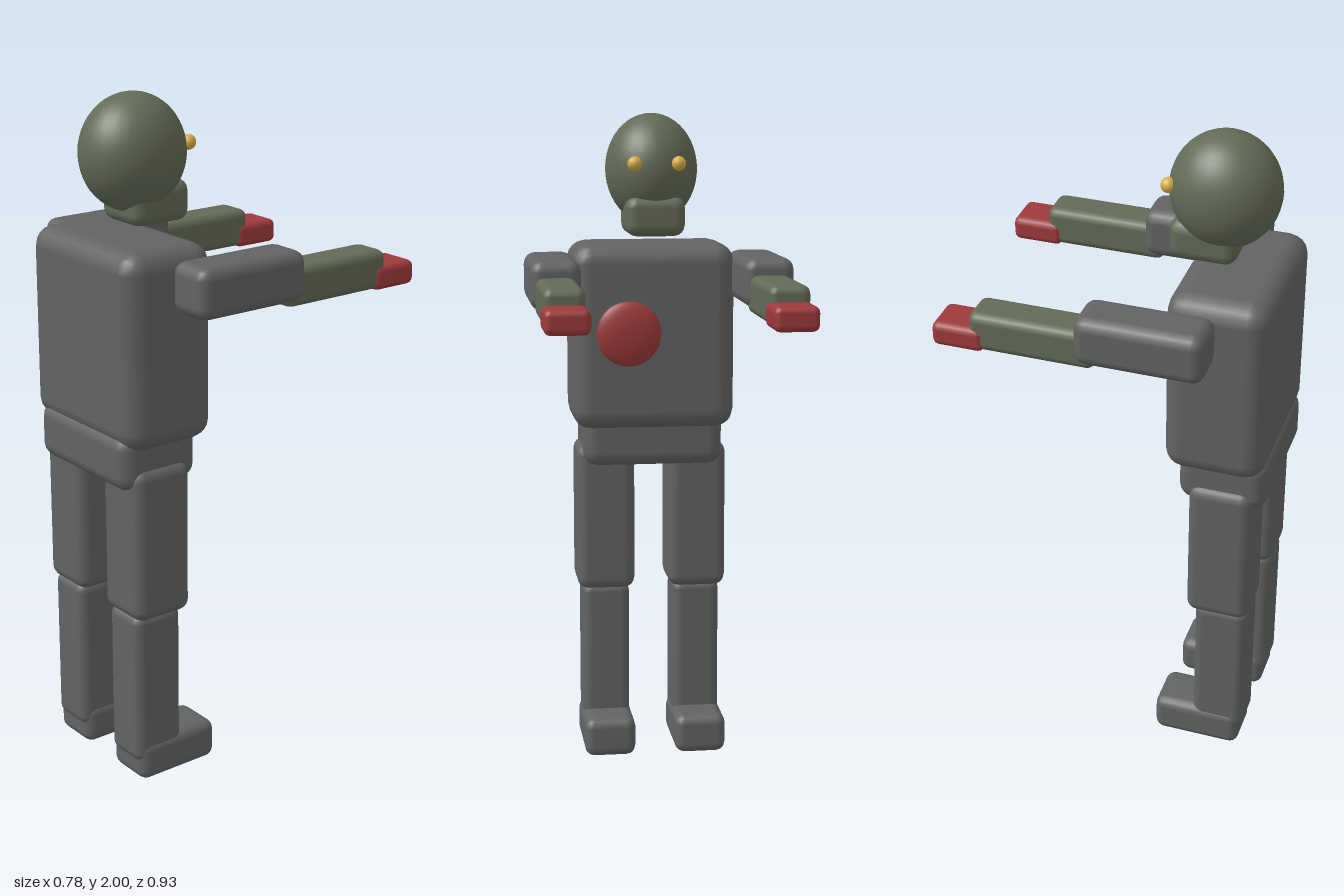
import * as THREE from 'three';
import { RoundedBoxGeometry } from 'three/addons/geometries/RoundedBoxGeometry.js';

function material(name, color) {
  const m = new THREE.MeshStandardMaterial({ color });
  m.name = name;
  return m;
}

export function createModel() {
  const grey = material('grey cloth', 0x626463);
  const green = material('green skin', 0x636a56);
  const red = material('blood red', 0x9e3a3c);
  const yellow = material('yellow eye', 0xd6ae48);
  const model = new THREE.Group();
  model.name = 'figure';

  function add(parent, name, geometry, mat, x, y, z) {
    const mesh = new THREE.Mesh(geometry, mat);
    mesh.name = name;
    mesh.position.set(x, y, z);
    parent.add(mesh);
    return mesh;
  }

  // Rounded block given by its extents on each axis
  function block(parent, name, mat, [x0, x1], [y0, y1], [z0, z1], r) {
    const g = new RoundedBoxGeometry(x1 - x0, y1 - y0, z1 - z0, 2, r);
    return add(parent, name, g, mat, (x0 + x1) / 2, (y0 + y1) / 2, (z0 + z1) / 2);
  }

  function ellipsoid(parent, name, mat, [rx, ry, rz], x, y, z, w = 32, h = 24) {
    const g = new THREE.SphereGeometry(1, w, h).scale(rx, ry, rz);
    return add(parent, name, g, mat, x, y, z);
  }

  // Body
  block(model, 'torso', grey, [-0.25, 0.25], [1.04, 1.61], [0.165, 0.46], 0.06);
  block(model, 'pelvis', grey, [-0.217, 0.217], [0.92, 1.09], [0.203, 0.465], 0.045);
  ellipsoid(model, 'chestWound', red, [0.1, 0.1, 0.03], 0.08, 1.34, 0.168);

  // Head, turned towards -z like the arms
  const head = new THREE.Group();
  head.name = 'head';
  model.add(head);
  ellipsoid(head, 'skull', green, [0.14, 0.167, 0.157], 0, 1.833, 0.267);
  block(head, 'jaw', green, [-0.09, 0.09], [1.635, 1.755], [0.127, 0.32], 0.035);

  for (const side of [-1, 1]) {
    const label = side > 0 ? 'left' : 'right';
    const span = (a, b) => (side > 0 ? [a, b] : [-b, -a]);
    ellipsoid(head, label + 'Eye', yellow, [0.022, 0.022, 0.022], side * 0.066, 1.853, 0.123, 16, 12);

    // Outstretched arm
    const arm = new THREE.Group();
    arm.name = label + 'Arm';
    model.add(arm);
    block(arm, 'upperArm', grey, span(0.24, 0.39), [1.435, 1.582], [-0.048, 0.32], 0.035);
    block(arm, 'forearm', green, span(0.255, 0.375), [1.418, 1.533], [-0.355, 0.01], 0.025);
    block(arm, 'hand', red, span(0.25, 0.38), [1.415, 1.487], [-0.462, -0.31], 0.02);

    // Leg
    const leg = new THREE.Group();
    leg.name = label + 'Leg';
    model.add(leg);
    block(leg, 'thigh', grey, span(0.053, 0.234), [0.52, 0.985], [0.24, 0.432], 0.035);
    block(leg, 'shin', grey, span(0.069, 0.217), [0.06, 0.535], [0.265, 0.426], 0.03);
    block(leg, 'foot', grey, span(0.063, 0.223), [0, 0.122], [0.145, 0.415], 0.03);
  }
  return model;
}
